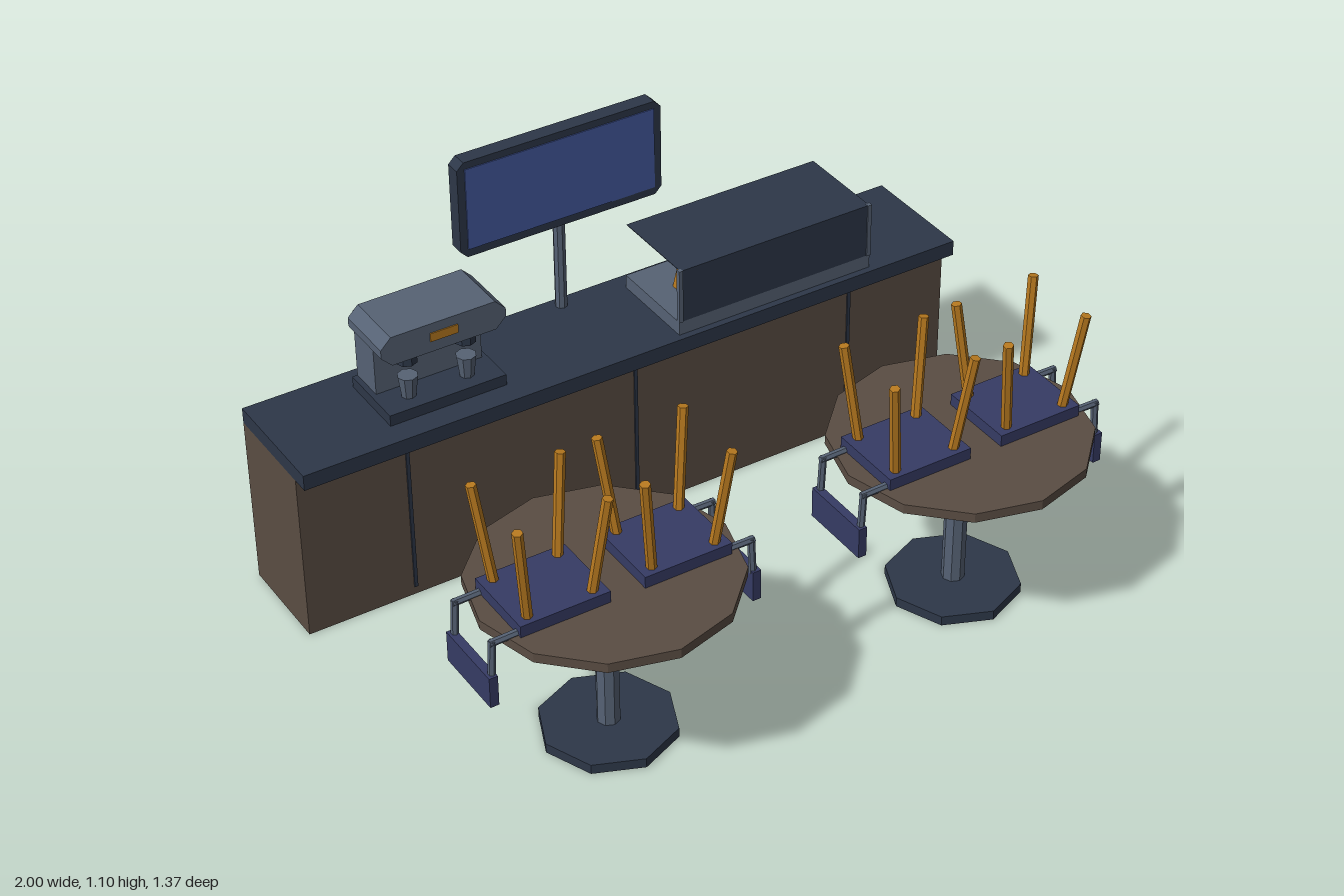
import * as THREE from 'three';

const mat = (name, color) => {
  const m = new THREE.MeshStandardMaterial({ color, flatShading: true });
  m.name = name;
  return m;
};

export function createModel() {
  const wood = mat('brown wood', 0x5a4d43);
  const slate = mat('dark slate', 0x2d3748);
  const steel = mat('grey steel', 0x566274);
  const navy = mat('navy seat', 0x363b64);
  const amber = mat('amber', 0xb7791f);
  const blue = mat('screen blue', 0x43589c);

  const add = (parent, name, geometry, material, x = 0, y = 0, z = 0) => {
    const mesh = new THREE.Mesh(geometry, material);
    mesh.name = name;
    mesh.position.set(x, y, z);
    parent.add(mesh);
    return mesh;
  };
  const group = (parent, name, x = 0, y = 0, z = 0) => {
    const g = new THREE.Group();
    g.name = name;
    g.position.set(x, y, z);
    parent.add(g);
    return g;
  };
  // box given by its minimum and maximum on each axis
  const box = (parent, name, m, x0, x1, y0, y1, z0, z1) =>
    add(parent, name, new THREE.BoxGeometry(x1 - x0, y1 - y0, z1 - z0), m,
      (x0 + x1) / 2, (y0 + y1) / 2, (z0 + z1) / 2);
  // upright cylinder or cone section from y0 to y1
  const post = (parent, name, m, rTop, rBottom, sides, x, y0, y1, z) =>
    add(parent, name, new THREE.CylinderGeometry(rTop, rBottom, y1 - y0, sides), m, x, (y0 + y1) / 2, z);
  // straight rod between two points
  const rod = (parent, name, m, r, sides, from, to) => {
    const a = new THREE.Vector3(...from), b = new THREE.Vector3(...to);
    const d = b.clone().sub(a);
    const mesh = add(parent, name, new THREE.CylinderGeometry(r, r, d.length(), sides), m);
    mesh.position.copy(a).add(b).multiplyScalar(0.5);
    mesh.quaternion.setFromUnitVectors(new THREE.Vector3(0, 1, 0), d.normalize());
    return mesh;
  };
  // slab with cut corners, centred on its own origin
  const cutSlab = (w, h, depth, cut) => {
    const x = w / 2, y = h / 2;
    const shape = new THREE.Shape([
      [-x + cut, -y], [x - cut, -y], [x, -y + cut], [x, y - cut],
      [x - cut, y], [-x + cut, y], [-x, y - cut], [-x, -y + cut],
    ].map(p => new THREE.Vector2(...p)));
    return new THREE.ExtrudeGeometry(shape, { depth, bevelEnabled: false }).translate(0, 0, -depth / 2);
  };

  const model = group(new THREE.Group(), 'cafe');

  // counter
  const counter = group(model, 'counter');
  box(counter, 'counterBody', wood, -1, 1, 0, 0.5, -0.685, -0.39);
  box(counter, 'counterTop', slate, -1, 1, 0.5, 0.545, -0.685, -0.34);
  for (const x of [-0.685, 0, 0.685])
    box(counter, 'panelSeam', slate, x - 0.005, x + 0.005, 0.025, 0.48, -0.391, -0.386);

  // coffee machine
  const machine = group(model, 'coffeeMachine', -0.546);
  box(machine, 'dripTray', slate, -0.17, 0.17, 0.545, 0.577, -0.616, -0.41);
  box(machine, 'machineBody', steel, -0.155, 0.155, 0.577, 0.778, -0.616, -0.513);
  add(machine, 'machineHead', cutSlab(0.36, 0.085, 0.177, 0.03), steel, 0, 0.765, -0.505);
  box(machine, 'badgePlate', amber, -0.04, 0.04, 0.755, 0.78, -0.418, -0.413);
  for (const x of [-0.085, 0.085]) {
    post(machine, 'brewHead', slate, 0.029, 0.029, 8, x, 0.683, 0.724, -0.467);
    post(machine, 'cup', steel, 0.028, 0.02, 8, x, 0.577, 0.64, -0.467);
  }

  // menu screen on its pole
  const sign = group(model, 'menuScreen', -0.07, 0, -0.652);
  post(sign, 'screenPole', steel, 0.017, 0.017, 8, 0, 0.545, 0.83, 0);
  add(sign, 'screenFrame', cutSlab(0.61, 0.285, 0.044, 0.02), slate, 0, 0.953, 0);
  box(sign, 'screenFace', blue, -0.283, 0.283, 0.834, 1.075, 0.022, 0.025);

  // pastry case, open at the back and sides
  const pastryCase = group(model, 'pastryCase', 0.425);
  box(pastryCase, 'caseTray', steel, -0.305, 0.305, 0.545, 0.585, -0.63, -0.36);
  box(pastryCase, 'frontPane', slate, -0.3, 0.3, 0.585, 0.745, -0.366, -0.36);
  box(pastryCase, 'topPane', slate, -0.3, 0.3, 0.743, 0.745, -0.63, -0.36);
  for (const s of [-1, 1])
    box(pastryCase, 'caseUpright', steel, s * 0.3 - 0.006, s * 0.3 + 0.006, 0.585, 0.746, -0.37, -0.357);
  for (const x of [-0.175, 0, 0.175])
    post(pastryCase, 'pastry', amber, 0.046, 0.06, 6, x, 0.585, 0.656, -0.487);

  // upturned chair, with its backrest hanging over the table edge toward +x
  const addChair = (table, turn) => {
    const chair = group(table, 'upturnedChair');
    chair.rotation.y = turn;
    box(chair, 'seat', navy, 0.048, 0.297, 0.497, 0.53, -0.109, 0.109);
    for (const sx of [-1, 1]) for (const sz of [-1, 1])
      rod(chair, 'chairLeg', amber, 0.014, 6,
        [0.173 + sx * 0.089, 0.52, sz * 0.081], [0.173 + sx * 0.122, 0.81, sz * 0.11]);
    for (const sz of [-1, 1]) {
      const z = sz * 0.09;
      rod(chair, 'backRail', steel, 0.01, 6, [0.27, 0.501, z], [0.372, 0.499, z]);
      rod(chair, 'backUpright', steel, 0.01, 6, [0.364, 0.505, z], [0.372, 0.35, z]);
    }
    box(chair, 'backrest', navy, 0.361, 0.385, 0.317, 0.406, -0.105, 0.105);
  };

  // two round tables, each with a pair of chairs
  for (const x of [-0.532, 0.532]) {
    const table = group(model, 'table', x, 0, 0.337);
    post(table, 'tableBase', slate, 0.182, 0.182, 8, 0, 0, 0.028, 0);
    post(table, 'tablePost', steel, 0.031, 0.031, 8, 0, 0.028, 0.472, 0);
    post(table, 'tableTop', wood, 0.348, 0.348, 12, 0, 0.47, 0.497, 0);
    addChair(table, 0);
    addChair(table, Math.PI);
  }

  return model.parent;
}
